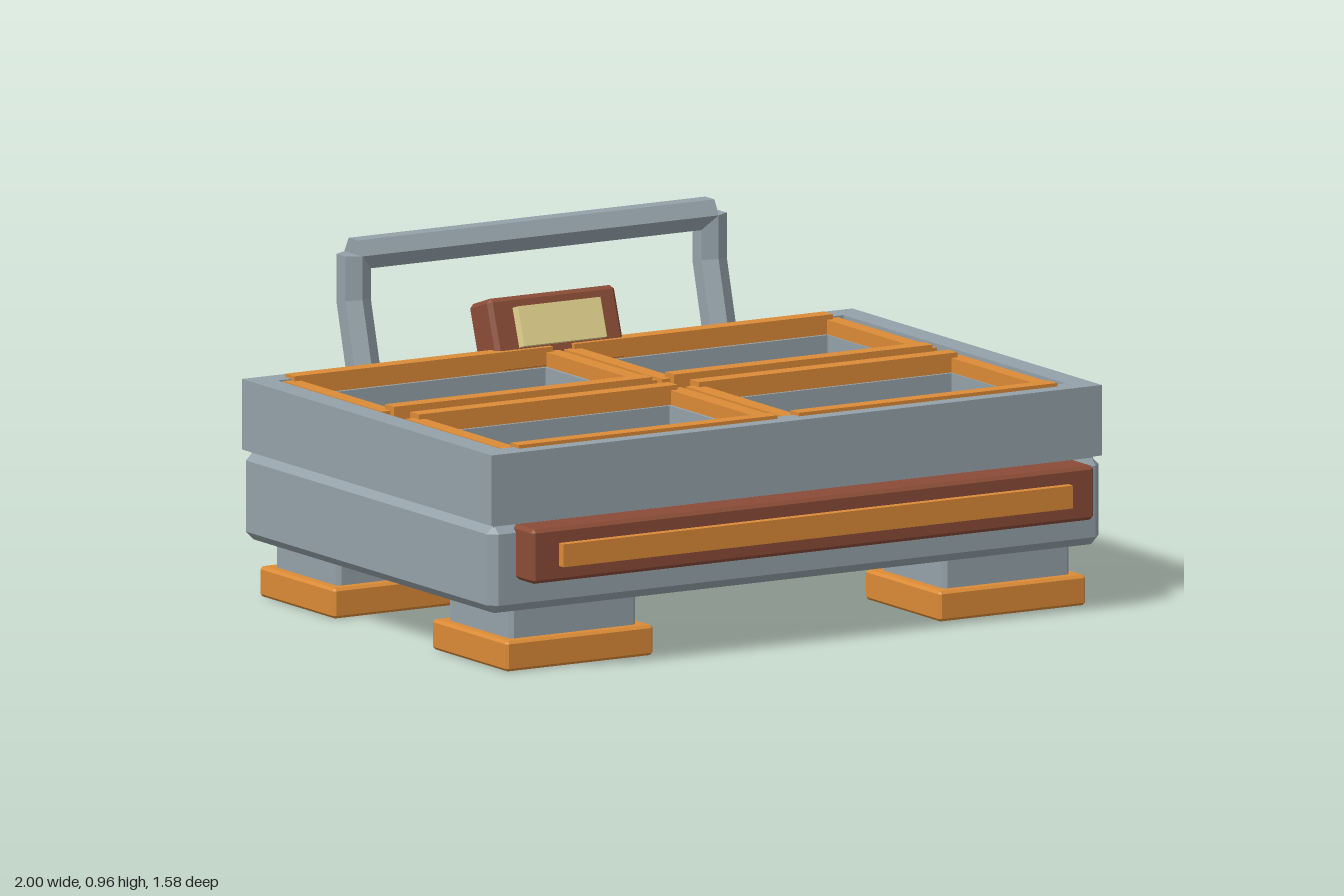
import * as THREE from 'three';
import { ConvexGeometry } from 'three/addons/geometries/ConvexGeometry.js';

const mat = (name, color) => new THREE.MeshStandardMaterial({ name, color, flatShading: true });

export function createModel() {
  const model = new THREE.Group();
  model.name = 'planterTray';
  const steel = mat('steelGrey', 0x94a1a9);
  const orange = mat('orange', 0xdb8b37);
  const brown = mat('redBrown', 0x8a4c37);
  const soil = mat('darkSoil', 0x473320);
  const cream = mat('creamScreen', 0xe6d48f);

  const add = (name, geometry, material, parent = model) => {
    const mesh = new THREE.Mesh(geometry, material);
    mesh.name = name;
    parent.add(mesh);
    return mesh;
  };

  // Box between limits, with chamfered edges when c > 0
  const block = (name, material, [x0, x1], [y0, y1], [z0, z1], c = 0, parent = model) => {
    const w = (x1 - x0) / 2, h = (y1 - y0) / 2, d = (z1 - z0) / 2;
    let geometry;
    if (c > 0) {
      const points = [];
      for (const a of [-1, 1]) for (const b of [-1, 1]) for (const e of [-1, 1]) {
        points.push(
          new THREE.Vector3(a * w, b * (h - c), e * (d - c)),
          new THREE.Vector3(a * (w - c), b * h, e * (d - c)),
          new THREE.Vector3(a * (w - c), b * (h - c), e * d));
      }
      geometry = new ConvexGeometry(points);
    } else geometry = new THREE.BoxGeometry(2 * w, 2 * h, 2 * d);
    const mesh = add(name, geometry, material, parent);
    mesh.position.set((x0 + x1) / 2, (y0 + y1) / 2, (z0 + z1) / 2);
    return mesh;
  };

  // Flat slab with rectangular holes, rectangles given as [x0, x1, z0, z1]
  const trace = (path, [x0, x1, z0, z1]) => {
    path.moveTo(x0, -z1);
    path.lineTo(x1, -z1);
    path.lineTo(x1, -z0);
    path.lineTo(x0, -z0);
    path.closePath();
    return path;
  };
  const slab = (name, material, outer, holes, y0, y1) => {
    const shape = trace(new THREE.Shape(), outer);
    shape.holes = holes.map((hole) => trace(new THREE.Path(), hole));
    const geometry = new THREE.ExtrudeGeometry(shape, { depth: y1 - y0, bevelEnabled: false });
    geometry.rotateX(-Math.PI / 2).translate(0, y0, 0);
    return add(name, geometry, material);
  };

  // Body: chamfered base and an upper rim around four bins
  block('lowerBody', steel, [-1, 1], [0.167, 0.417], [-0.655, 0.675], 0.024);
  block('seam', steel, [-0.98, 0.98], [0.39, 0.44], [-0.635, 0.655]);
  slab('upperRim', steel, [-0.998, 0.998, -0.656, 0.674], [[-0.925, 0.925, -0.585, 0.6]], 0.42, 0.62);
  const rows = [[-0.556, -0.096], [0.106, 0.572]];
  const binHoles = rows.flatMap(([z0, z1]) => [[-0.855, -0.067, z0, z1], [0.067, 0.855, z0, z1]]);
  slab('binWalls', steel, [-0.925, 0.925, -0.585, 0.6], binHoles, 0.43, 0.575);
  block('binFloor', soil, [-0.9, 0.9], [0.43, 0.478], [-0.57, 0.585]);
  block('crossStrip', brown, [-0.912, 0.912], [0.55, 0.582], [-0.065, 0.08]);

  // Orange trim bars round each bin
  const trimRows = [[-0.615, -0.567, -0.085, -0.037], [0.048, 0.096, 0.583, 0.628]];
  for (const s of [-1, 1]) {
    const span = (a, b) => (s > 0 ? [a, b] : [-b, -a]);
    for (const [a, b, c, d] of trimRows) {
      block('longTrim', orange, span(0.035, 0.88), [0.56, 0.63], [a, b]);
      block('longTrim', orange, span(0.035, 0.88), [0.56, 0.63], [c, d]);
      block('sideTrim', orange, span(0.86, 0.907), [0.56, 0.616], [a + 0.02, d - 0.02]);
      block('sideTrim', orange, span(0.008, 0.057), [0.56, 0.616], [a + 0.02, d - 0.02]);
    }
    // Feet: stem and pad
    for (const [z0, z1] of [[0.273, 0.673], [-0.647, -0.247]]) {
      block('footStem', steel, span(0.501, 0.916), [0.07, 0.19], [z0 + 0.033, z1 - 0.033], 0.012);
      block('footPad', orange, span(0.467, 0.948), [0, 0.086], [z0, z1], 0.008);
    }
  }

  // Front bumper with its stripe
  block('bumper', brown, [-0.919, 0.919], [0.26, 0.414], [0.65, 0.764], 0.01);
  block('bumperStripe', orange, [-0.833, 0.833], [0.305, 0.37], [0.75, 0.789]);

  // Hexagonal rear handle
  const rod = (name, from, to) => {
    const a = new THREE.Vector3(...from), b = new THREE.Vector3(...to);
    const mesh = add(name, new THREE.CylinderGeometry(0.048, 0.048, a.distanceTo(b), 6), steel);
    mesh.position.copy(a).add(b).multiplyScalar(0.5);
    mesh.quaternion.setFromUnitVectors(new THREE.Vector3(0, 1, 0), b.sub(a).normalize());
  };
  for (const x of [-0.582, 0.582]) {
    rod('handlePostLower', [x, 0.422, -0.64], [x, 0.79, -0.739]);
    rod('handlePostUpper', [x, 0.778, -0.739], [x, 0.92, -0.739]);
  }
  rod('handleBar', [-0.583, 0.92, -0.739], [0.583, 0.92, -0.739]);

  // Tilted display on a rear bracket
  block('displayBracket', steel, [-0.118, 0.118], [0.43, 0.6], [-0.71, -0.64]);
  const display = new THREE.Group();
  display.name = 'display';
  display.position.set(0, 0.663, -0.639);
  display.rotation.x = -0.32;
  model.add(display);
  block('displayCase', brown, [-0.208, 0.208], [-0.115, 0.102], [-0.075, 0.042], 0.012, display);
  block('displayScreen', cream, [-0.135, 0.135], [-0.045, 0.068], [0.035, 0.072], 0, display);

  return model;
}
